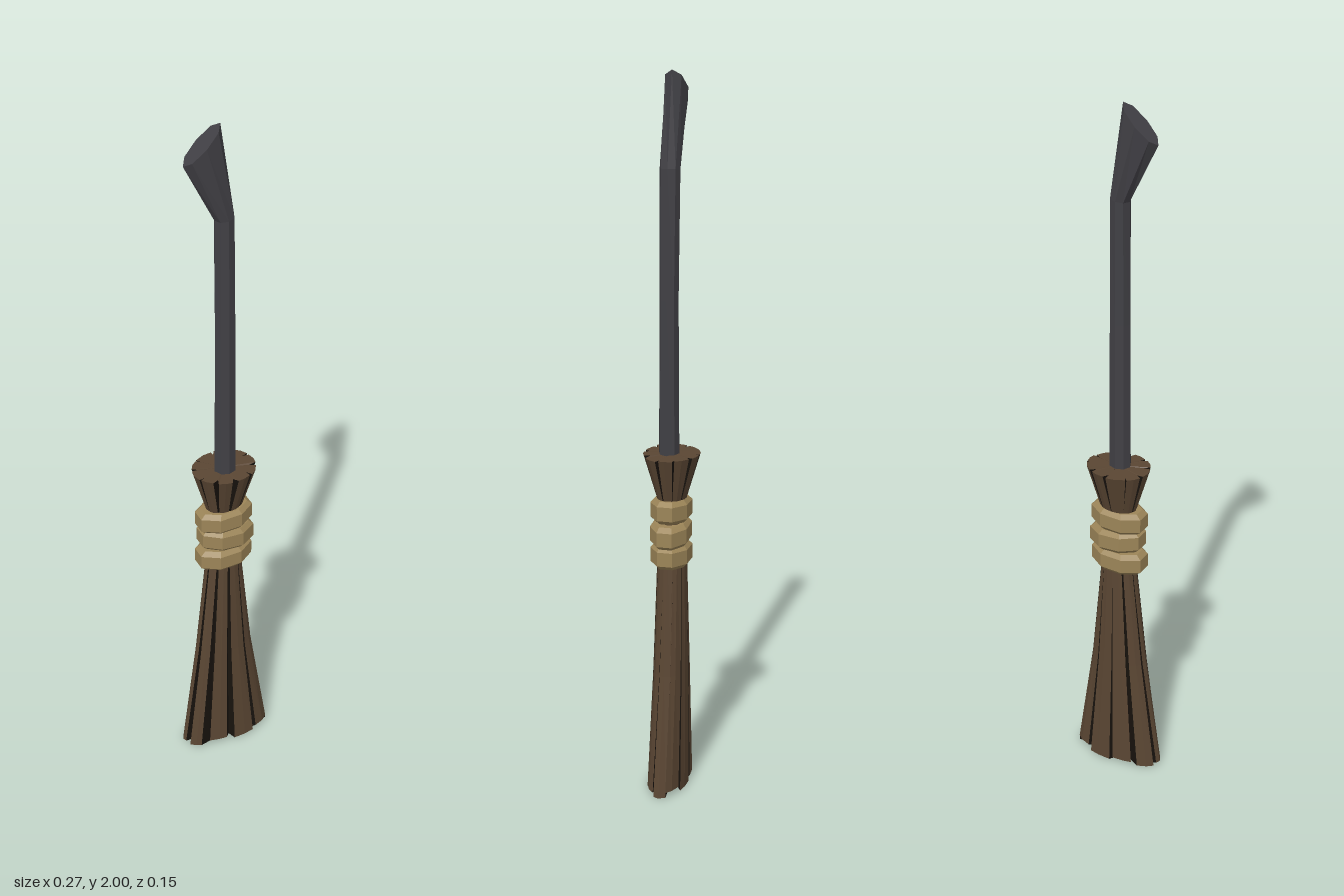
import * as THREE from 'three';

const makeMaterial = (name, color) => {
  const m = new THREE.MeshStandardMaterial({ color, flatShading: true });
  m.name = name;
  return m;
};

// Small seeded generator, returns -1..1
function seeded(seed) {
  return () => {
    seed = (seed * 16807) % 2147483647;
    return (seed / 2147483647) * 2 - 1;
  };
}

// Skin a stack of rings (bottom to top) with caps; sideMat picks a material index per column
function loft(name, rings, materials, { sideMat = () => 0, topMat = 0, bottomMat = 0 } = {}) {
  const buckets = materials.map(() => []);
  const tri = (m, ...pts) => pts.forEach((p) => buckets[m].push(p.x, p.y, p.z));
  const n = rings[0].length;
  const centre = (ring) => ring.reduce((s, p) => s.add(p), new THREE.Vector3()).divideScalar(n);
  const low = rings[0], high = rings[rings.length - 1];
  const lowC = centre(low), highC = centre(high);
  for (let i = 0; i < n; i++) {
    const j = (i + 1) % n;
    for (let r = 0; r < rings.length - 1; r++) {
      const a = rings[r], b = rings[r + 1];
      tri(sideMat(i), a[i], b[i], b[j]);
      tri(sideMat(i), a[i], b[j], a[j]);
    }
    tri(topMat, highC, high[j], high[i]);
    tri(bottomMat, lowC, low[i], low[j]);
  }
  const geo = new THREE.BufferGeometry();
  geo.setAttribute('position', new THREE.Float32BufferAttribute(buckets.flat(), 3));
  let start = 0;
  buckets.forEach((b, m) => {
    if (b.length) geo.addGroup(start, b.length / 3, m);
    start += b.length / 3;
  });
  geo.computeVertexNormals();
  const mesh = new THREE.Mesh(geo, materials);
  mesh.name = name;
  return mesh;
}

// Elliptical ring; slopeX tilts it along x
function ring(n, y, cx, cz, rx, rz, slopeX = 0, turn = 0) {
  return Array.from({ length: n }, (_, i) => {
    const a = ((i + turn) / n) * Math.PI * 2;
    const dx = Math.cos(a) * rx;
    return new THREE.Vector3(cx + dx, y + dx * slopeX, cz + Math.sin(a) * rz);
  });
}

// Ring of straw clumps split by grooves: groove, start, middle, end for each clump
function strawRing(clumps, seed, y, cx, cz, rx, rz, gap, depth, ragged) {
  const rnd = seeded(seed);
  const step = (Math.PI * 2) / clumps;
  const pts = [];
  for (let k = 0; k < clumps; k++) {
    const shift = rnd() * 0.12 * step;
    const g = gap * (1 + 0.6 * rnd());
    const dy = ragged * rnd();
    const a = k * step;
    const put = (ang, f) => pts.push(new THREE.Vector3(
      cx + Math.cos(ang) * rx * f, y + dy, cz + Math.sin(ang) * rz * f));
    put(a - step / 2 + shift, depth);
    put(a - step / 2 + shift + g, 1);
    put(a, 1.01);
    put(a + step / 2 - g, 1);
  }
  return pts;
}

export function createModel() {
  const wood = makeMaterial('charcoal wood', 0x414045);
  const straw = makeMaterial('brown straw', 0x5a4633);
  const shade = makeMaterial('dark straw gaps', 0x17120d);
  const rope = makeMaterial('tan rope', 0x9c8558);

  const broom = new THREE.Group();
  broom.name = 'broom';

  // Handle with a bent, slanted tip
  broom.add(loft('handle', [
    ring(8, 0.88, 0, 0.008, 0.032, 0.029),
    ring(8, 1.4, 0, 0.008, 0.029, 0.026),
    ring(8, 1.745, -0.002, 0.006, 0.027, 0.028, 0.15),
    ring(8, 1.952, -0.061, 0.003, 0.05, 0.031, 0.95),
  ], [wood]));

  // Long straw skirt, spreading sideways towards the floor
  const groove = { sideMat: (i) => (i % 4 === 0 || i % 4 === 3 ? 1 : 0) };
  broom.add(loft('lowerStraw', [
    strawRing(10, 77, 0.01, 0, 0.006, 0.135, 0.056, 0.07, 0.78, 0.009),
    strawRing(10, 77, 0.35, -0.003, 0.002, 0.085, 0.048, 0.05, 0.86, 0),
    strawRing(10, 77, 0.68, -0.002, 0, 0.05, 0.04, 0.02, 0.97, 0),
  ], [straw, shade], { ...groove, bottomMat: 1 }));

  // Straw core behind the binding
  broom.add(loft('strawCore', [
    ring(10, 0.64, 0, 0, 0.047, 0.037),
    ring(10, 0.86, 0, 0, 0.05, 0.036),
  ], [straw]));

  // Short flared straw above the binding
  broom.add(loft('upperStraw', [
    strawRing(10, 51, 0.83, 0, 0, 0.048, 0.034, 0.03, 0.95, 0),
    strawRing(10, 51, 0.975, 0, 0, 0.09, 0.077, 0.08, 0.8, 0.004),
  ], [straw, shade], groove));

  // Three bevelled rope turns, each slightly skewed
  [[0.688, -0.003, 0.04], [0.753, 0.003, -0.05], [0.818, -0.002, 0.05]].forEach(([y, cx, tilt], k) => {
    const turn = (h, rx, rz) => ring(8, y + h, cx, 0.002, rx, rz, tilt, 0.5);
    broom.add(loft('ropeTurn' + (k + 1), [
      turn(-0.032, 0.069, 0.045),
      turn(-0.02, 0.084, 0.056),
      turn(0.02, 0.084, 0.056),
      turn(0.032, 0.069, 0.045),
    ], [rope]));
  });

  return broom;
}
